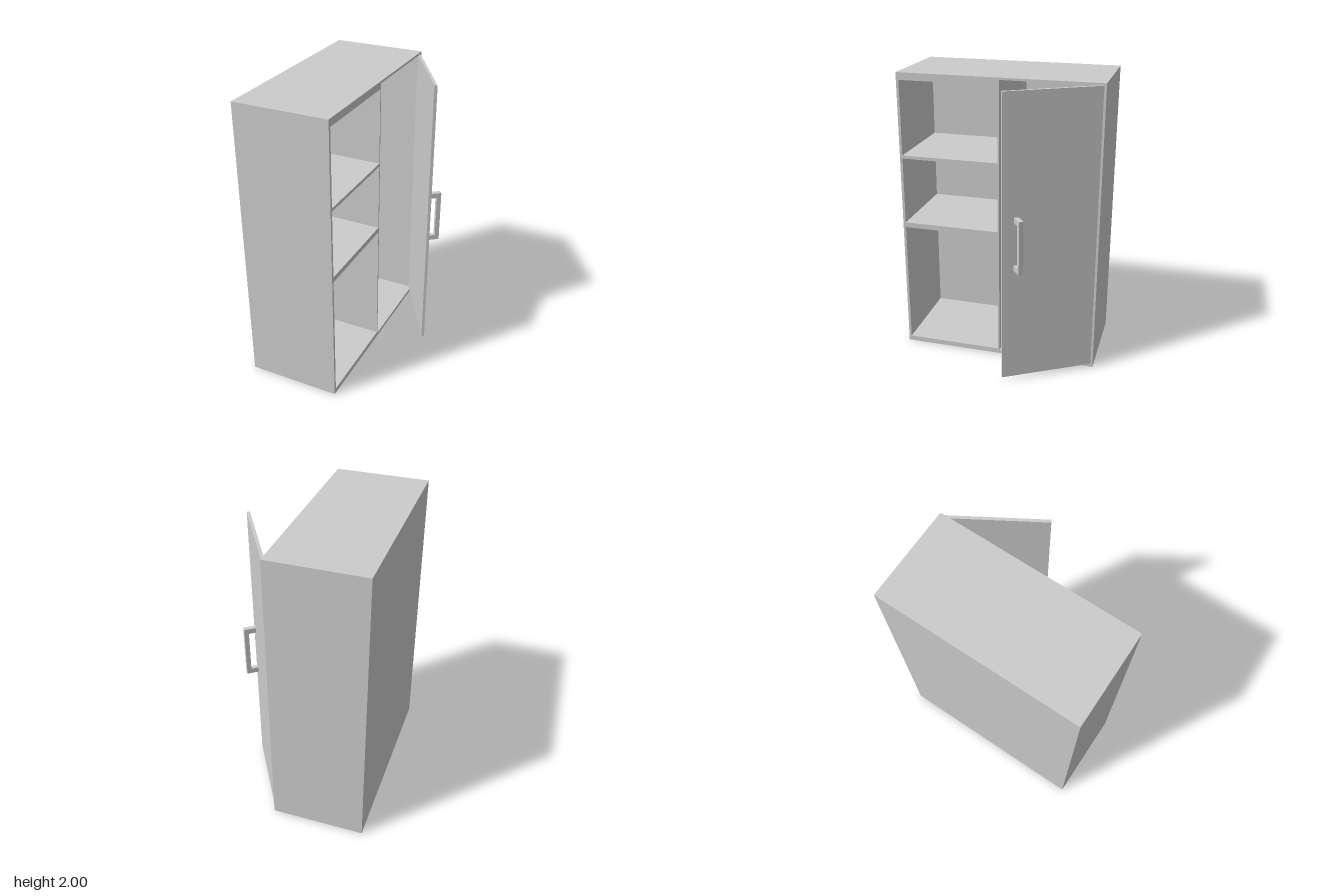
import * as THREE from 'three';

const material = new THREE.MeshStandardMaterial({ color: 0xcccccc, flatShading: true });

// Box given by its two extreme corners
function slab(parent, name, [x0, y0, z0], [x1, y1, z1]) {
  const mesh = new THREE.Mesh(new THREE.BoxGeometry(x1 - x0, y1 - y0, z1 - z0), material);
  mesh.position.set((x0 + x1) / 2, (y0 + y1) / 2, (z0 + z1) / 2);
  mesh.name = name;
  parent.add(mesh);
}

// Outline in a plane, extruded and centred on its thickness
function extruded(name, points, depth) {
  const shape = new THREE.Shape(points.map(([x, y]) => new THREE.Vector2(x, y)));
  const geometry = new THREE.ExtrudeGeometry(shape, { depth, bevelEnabled: false });
  geometry.translate(0, 0, -depth / 2);
  const mesh = new THREE.Mesh(geometry, material);
  mesh.name = name;
  return mesh;
}

export function createModel() {
  const model = new THREE.Group();
  model.name = 'wardrobe';
  const back = -0.5, front = 0.14, side = 0.69, inner = 0.672;

  // Carcass, open towards +x
  const carcass = new THREE.Group();
  carcass.name = 'carcass';
  model.add(carcass);
  slab(carcass, 'backPanel', [back, 0, -side], [back + 0.02, 2, side]);
  slab(carcass, 'topPanel', [back, 1.985, -side], [front, 2, side]);
  slab(carcass, 'bottomPanel', [back, 0, -side], [front, 0.025, side]);
  slab(carcass, 'leftPanel', [back, 0, inner], [front, 2, side]);
  slab(carcass, 'rightPanel', [back, 0, -side], [front, 2, -inner]);

  // Shelf bay: lower and upper boards, two shelves
  for (const [name, y0, y1] of [
    ['bayFloor', 0.025, 0.036],
    ['lowerShelf', 0.912, 0.948],
    ['upperShelf', 1.415, 1.437],
    ['bayCeiling', 1.95, 1.985],
  ]) slab(carcass, name, [back + 0.02, y0, 0], [front, y1, inner]);

  // Divider, slightly thicker towards the back
  const divider = extruded('divider', [
    [back + 0.02, 0], [front, 0], [front, 0.01], [back + 0.02, 0.035],
  ], 1.96);
  divider.rotation.x = -Math.PI / 2;
  divider.position.y = 1.005;
  carcass.add(divider);

  // Door, swung open about its rear hinge edge
  const door = new THREE.Group();
  door.name = 'door';
  door.position.set(front, 0, -0.675);
  door.rotation.y = -1.03;
  slab(door, 'doorPanel', [0, 0.025, 0], [0.643, 1.985, 0.02]);
  model.add(door);

  // U-shaped pull handle on the outside of the door
  const handle = extruded('handle', [
    [-0.008, 0.82], [0.084, 0.82], [0.084, 1.186], [-0.008, 1.186],
    [-0.008, 1.15], [0.054, 1.15], [0.054, 0.856], [-0.008, 0.856],
  ], 0.031);
  handle.position.set(0.4225, 0, -0.2025);
  handle.rotation.y = 0.657;
  model.add(handle);

  return model;
}
